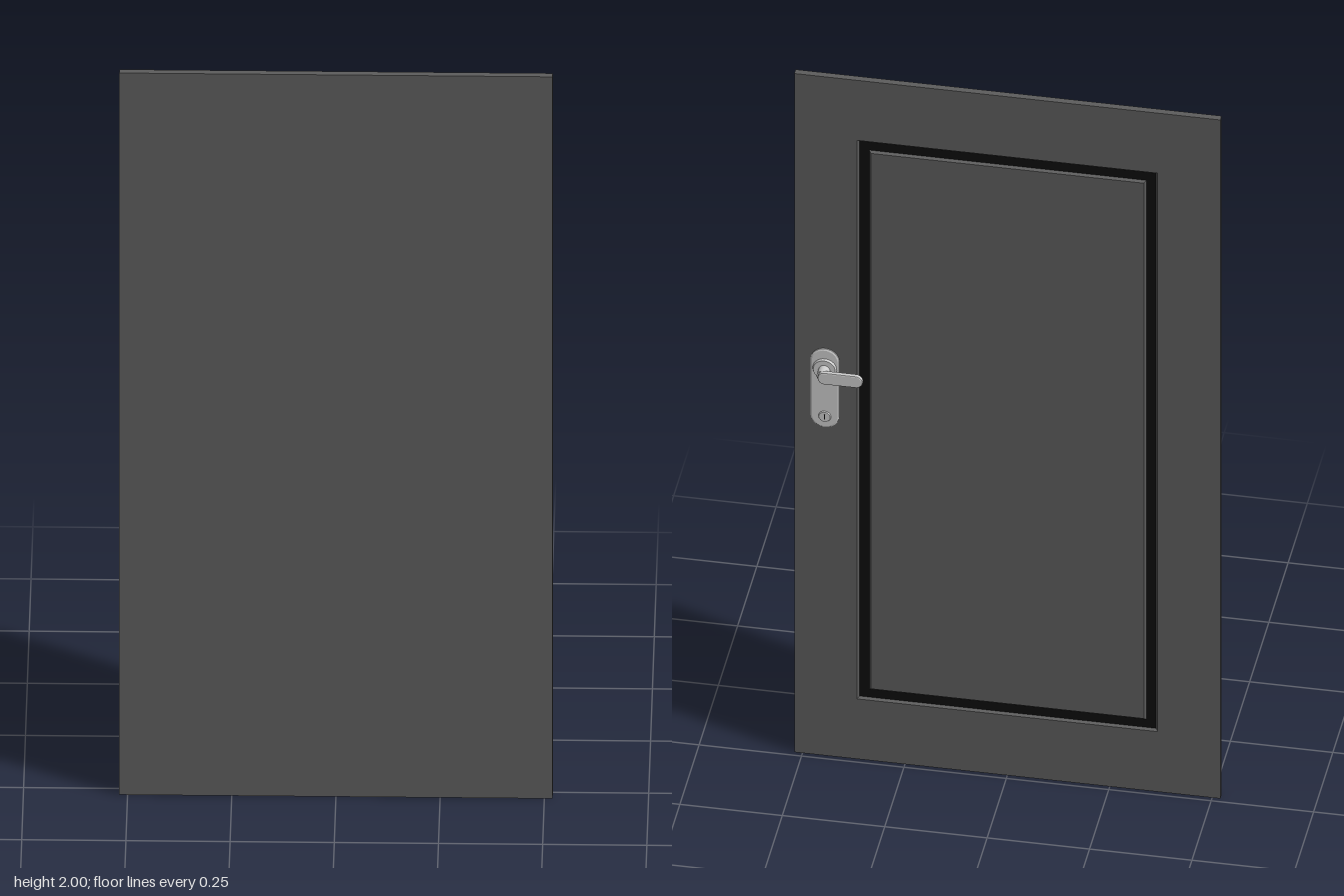
import * as THREE from 'three';

const grey = () => new THREE.MeshStandardMaterial({ color: 0xcccccc });
const DOOR = 0x5c5c5c, GROOVE = 0x0c0c0c;

// Joins nested rectangles [half width, half height, z], listed from front to back
function loftRects(rings) {
  const corners = [[-1, -1], [1, -1], [1, 1], [-1, 1]];
  const point = ([w, h, z], k) => [corners[k % 4][0] * w, 1 + corners[k % 4][1] * h, z];
  const pos = [];
  for (let i = 0; i < rings.length - 1; i++) {
    for (let k = 0; k < 4; k++) {
      const a0 = point(rings[i], k), a1 = point(rings[i], k + 1);
      const b0 = point(rings[i + 1], k), b1 = point(rings[i + 1], k + 1);
      if (rings[i + 1][0] > 0) pos.push(...a0, ...b0, ...b1);
      else pos.push(...a0, ...b0, ...a1);
      if (rings[i][0] > 0 && rings[i + 1][0] > 0) pos.push(...a0, ...b1, ...a1);
    }
  }
  const g = new THREE.BufferGeometry();
  g.setAttribute('position', new THREE.Float32BufferAttribute(pos, 3));
  g.computeVertexNormals();
  return g;
}

// Upright shape with semicircular ends
function stadium(r, half) {
  const s = new THREE.Shape();
  s.absarc(0, half, r, 0, Math.PI, false);
  s.absarc(0, -half, r, Math.PI, Math.PI * 2, false);
  s.closePath();
  return s;
}

export function createModel() {
  const group = new THREE.Group();
  const add = (parent, name, geometry, material, x = 0, y = 0, z = 0) => {
    const m = new THREE.Mesh(geometry, material);
    m.name = name;
    m.position.set(x, y, z);
    parent.add(m);
    return m;
  };

  // Door leaf: flat front, framed panel on the back
  const front = 0.03, back = 0.013, floor = 0.019;
  const doorMat = new THREE.MeshStandardMaterial({ color: DOOR });
  add(group, 'doorFrame', loftRects([
    [0, 0, front], [0.52, 1, front], [0.52, 1, back], [0.367, 0.823, back], [0.362, 0.818, floor],
  ]), doorMat);
  add(group, 'doorPanel', loftRects([
    [0.338, 0.794, floor], [0.333, 0.789, back], [0, 0, back],
  ]), doorMat);
  add(group, 'panelGroove', loftRects([
    [0.362, 0.818, floor], [0.338, 0.794, floor],
  ]), new THREE.MeshStandardMaterial({ color: GROOVE }));

  // Handle set on the back, near the left edge
  const handle = new THREE.Group();
  handle.name = 'handle';
  handle.position.set(0.445, 1.143, 0);
  group.add(handle);
  const metal = grey();

  // Back plate with a bevelled edge
  const plate = new THREE.ExtrudeGeometry(stadium(0.031, 0.08), {
    depth: 0.003, bevelEnabled: true, bevelThickness: 0.002, bevelSize: 0.004,
    bevelSegments: 1, curveSegments: 16,
  });
  add(handle, 'backPlate', plate, metal, 0, -0.058, 0.01);

  // Discs and spindle, all pointing backwards
  const disc = (name, rBack, rFront, zBack, zFront, y = 0) => {
    const g = new THREE.CylinderGeometry(rFront, rBack, zFront - zBack, 28);
    g.rotateX(Math.PI / 2);
    return add(handle, name, g, metal, 0, y, (zFront + zBack) / 2);
  };
  disc('collar', 0.027, 0.03, 0.002, 0.009);
  disc('spindle', 0.014, 0.014, -0.023, 0.003);
  disc('lockCylinder', 0.014, 0.016, 0.005, 0.009, -0.14);

  // Keyhole slot
  add(handle, 'keyhole', new THREE.BoxGeometry(0.003, 0.014, 0.001),
    new THREE.MeshStandardMaterial({ color: GROOVE }), 0, -0.14, 0.0048);

  // Lever reaching towards the middle of the door
  const lever = new THREE.ExtrudeGeometry(stadium(0.014, 0.038), {
    depth: 0.006, bevelEnabled: true, bevelThickness: 0.003, bevelSize: 0.003,
    bevelSegments: 2, curveSegments: 12,
  });
  lever.rotateZ(Math.PI / 2);
  add(handle, 'lever', lever, metal, -0.045, 0, -0.031);

  return group;
}
